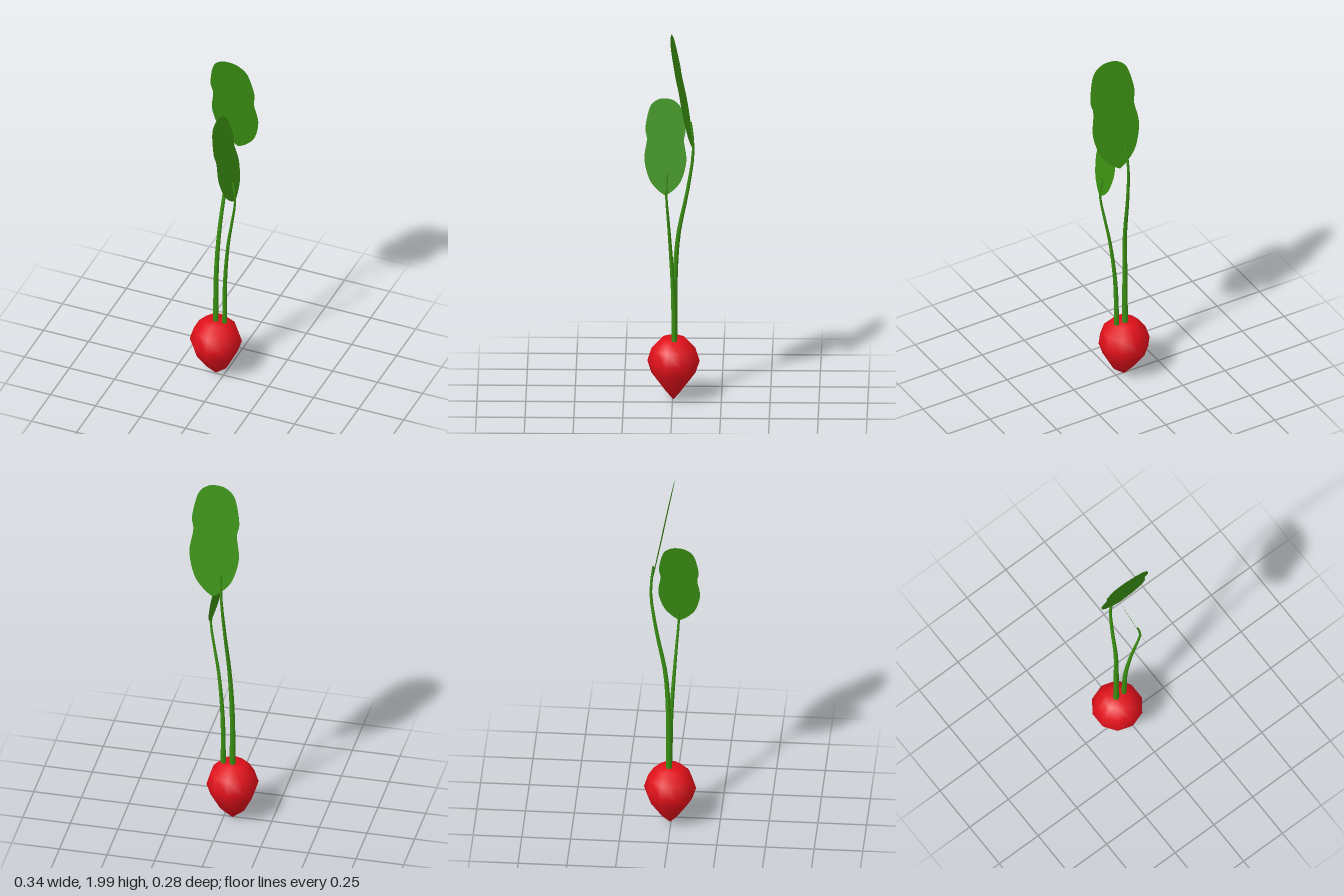
import * as THREE from 'three';

const red = new THREE.MeshStandardMaterial({ color: 0xe0101a });
const green = new THREE.MeshStandardMaterial({ color: 0x3a8f12, side: THREE.DoubleSide });

const add = (group, name, geometry, material) => {
  const mesh = new THREE.Mesh(geometry, material);
  mesh.name = name;
  group.add(mesh);
  return mesh;
};

// Ten-sided root that narrows to a slightly flattened point
function bulbGeometry() {
  const profile = [[0, 0.005], [0.066, 0.06], [0.113, 0.15], [0.134, 0.215], [0.112, 0.285], [0.064, 0.335], [0, 0.335]];
  const geo = new THREE.LatheGeometry(profile.map(([r, y]) => new THREE.Vector2(r, y)), 10);
  const p = geo.attributes.position;
  for (let i = 0; i < p.count; i++) if (p.getY(i) < 0.1) p.setZ(i, p.getZ(i) * 0.68);
  return geo;
}

// Tube along a curve, tapering from r0 to r1
function stemGeometry(points, r0, r1) {
  const curve = new THREE.CatmullRomCurve3(points.map(a => new THREE.Vector3(...a)));
  const rows = 16, sides = 8;
  const geo = new THREE.TubeGeometry(curve, rows, 1, sides);
  const p = geo.attributes.position, v = new THREE.Vector3();
  for (let i = 0; i < p.count; i++) {
    const t = Math.floor(i / (sides + 1)) / rows;
    const c = curve.getPointAt(t);
    v.fromBufferAttribute(p, i).sub(c).multiplyScalar(r0 + (r1 - r0) * t).add(c);
    p.setXYZ(i, v.x, v.y, v.z);
  }
  return geo;
}

// Wavy-edged blade: pointed base at the origin, rounded tip at y = 1
function leafGeometry(base, along, across) {
  const right = [[0.085, 0.06], [0.17, 0.17], [0.22, 0.37], [0.194, 0.57], [0.21, 0.69], [0.165, 0.9], [0.09, 0.98]];
  const left = right.map(([x, y]) => [-x, y]).reverse();
  const shape = new THREE.Shape();
  shape.moveTo(0, 0);
  shape.splineThru([...right, [0, 1], ...left, [0, 0]].map(a => new THREE.Vector2(...a)));
  const geo = new THREE.ShapeGeometry(shape, 5);
  const p = geo.attributes.position;
  const o = new THREE.Vector3(...base), a = new THREE.Vector3(...along), b = new THREE.Vector3(...across);
  for (let i = 0; i < p.count; i++) {
    const v = o.clone().addScaledVector(a, p.getY(i)).addScaledVector(b, p.getX(i));
    p.setXYZ(i, v.x, v.y, v.z);
  }
  geo.computeVertexNormals();
  return geo;
}

export function createModel() {
  const model = new THREE.Group();
  model.name = 'radish';

  const bulb = add(model, 'bulb', bulbGeometry(), red);
  bulb.position.set(-0.045, 0, -0.005);

  // Tall stem and its leaf, facing front to back
  add(model, 'tallStem', stemGeometry([
    [-0.047, 0.32, -0.01], [-0.045, 0.65, -0.013], [-0.035, 0.9, -0.03],
    [-0.022, 1.15, -0.078], [-0.01, 1.37, -0.107], [-0.003, 1.52, -0.094],
  ], 0.016, 0.006), green);
  add(model, 'tallLeaf', leafGeometry([0.038, 1.395, -0.105], [0, 0.605, 0.112], [0.6, 0, 0.04]), green);

  // Short stem and its leaf, facing sideways
  add(model, 'shortStem', stemGeometry([
    [0.002, 0.32, -0.01], [0.007, 0.6, -0.004], [0.03, 0.85, 0.01],
    [0.06, 1.03, 0.022], [0.077, 1.15, 0.03], [0.064, 1.26, 0.026],
  ], 0.014, 0.005), green);
  add(model, 'shortLeaf', leafGeometry([0.078, 1.15, 0.035], [-0.093, 0.495, 0], [0.05, 0, -0.49]), green);

  return model;
}
